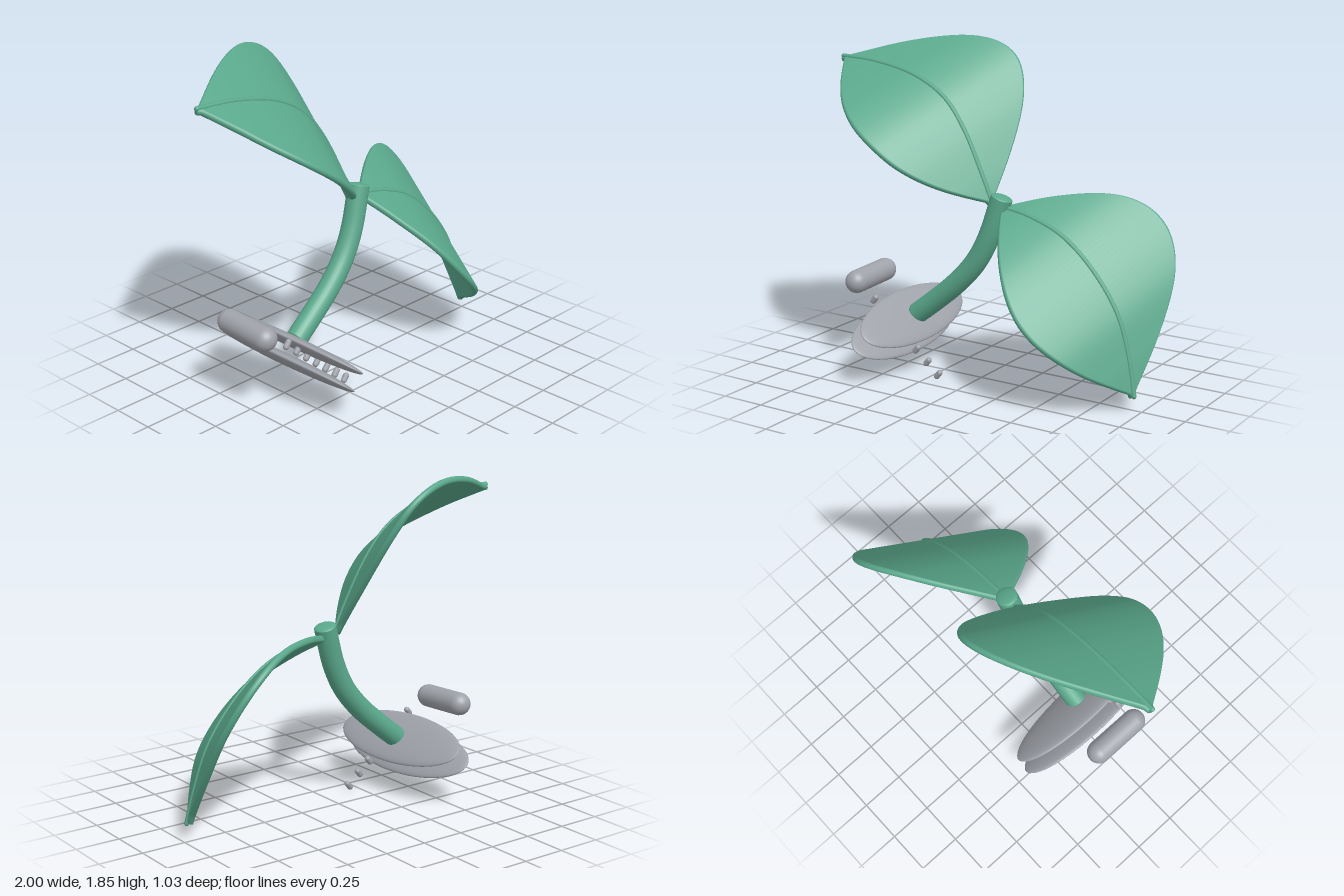
import * as THREE from 'three';

const green = new THREE.MeshStandardMaterial({ color: 0x5aa88c });
green.name = 'leaf green';
const grey = new THREE.MeshStandardMaterial({ color: 0x9fa2a9 });
grey.name = 'stone grey';

const V = (x, y, z) => new THREE.Vector3(x, y, z);
// Direction across both blades, pointing to the back
const ACROSS = V(0.34, 0.4, -0.85).normalize();
const HALF_THICK = 0.018;

function add(parent, geometry, material, name) {
  const mesh = new THREE.Mesh(geometry, material);
  mesh.name = name;
  parent.add(mesh);
  return mesh;
}

// Arched blade: rounded flat cross-sections swept along the midrib
function bladeGeometry(rib) {
  const rows = 56, endSteps = 8, h = HALF_THICK;
  const ring = 2 * (endSteps + 1);
  const pos = [], idx = [];
  for (let i = 0; i <= rows; i++) {
    const t = i / rows;
    const p = rib.getPointAt(t);
    const n = rib.getTangentAt(t).cross(ACROSS).normalize();
    const up = n.y > 0 ? 1 : -1;
    p.addScaledVector(n, -up * h * 0.8);
    const half = Math.max(0.003, 0.53 * Math.sin(Math.PI * Math.pow(t, 0.97)) - h);
    for (let side = 0; side < 2; side++) {
      for (let k = 0; k <= endSteps; k++) {
        const a = -Math.PI / 2 + side * Math.PI + (k / endSteps) * Math.PI;
        const v = p.clone()
          .addScaledVector(ACROSS, (side ? -half : half) + Math.cos(a) * h)
          .addScaledVector(n, Math.sin(a) * h);
        pos.push(v.x, v.y, v.z);
      }
    }
  }
  for (let i = 0; i < rows; i++) {
    for (let j = 0; j < ring; j++) {
      const k = (j + 1) % ring;
      const a = i * ring + j, b = i * ring + k, c = a + ring, d = b + ring;
      idx.push(a, b, d, a, d, c);
    }
  }
  // Close the base and the tip
  const last = rows * ring;
  for (let j = 1; j < ring - 1; j++) {
    idx.push(0, j + 1, j, last, last + j, last + j + 1);
  }
  const g = new THREE.BufferGeometry();
  g.setAttribute('position', new THREE.Float32BufferAttribute(pos, 3));
  g.setIndex(idx);
  g.computeVertexNormals();
  return g;
}

function makeLeaf(name, points) {
  const leaf = new THREE.Group();
  leaf.name = name;
  const rib = new THREE.CatmullRomCurve3(points);
  add(leaf, bladeGeometry(rib), green, 'blade');
  add(leaf, new THREE.TubeGeometry(rib, 60, 0.014, 10), green, 'midrib');
  // Small round ends on the midrib
  for (const p of [points[0], points[points.length - 1]]) {
    add(leaf, new THREE.SphereGeometry(0.014, 10, 8), green, 'midribEnd').position.copy(p);
  }
  return leaf;
}

export function createModel() {
  const model = new THREE.Group();
  model.name = 'sprout';

  model.add(makeLeaf('upperLeaf', [
    V(0.05, 1.01, -0.03), V(-0.02, 1.16, -0.035), V(-0.15, 1.4, -0.05), V(-0.28, 1.555, -0.06),
    V(-0.47, 1.66, -0.065), V(-0.74, 1.72, -0.07), V(-0.98, 1.735, -0.073),
  ]));
  model.add(makeLeaf('lowerLeaf', [
    V(0.11, 1.0, -0.025), V(0.28, 0.97, -0.025), V(0.49, 0.89, -0.022), V(0.68, 0.735, -0.015),
    V(0.84, 0.52, -0.005), V(0.92, 0.3, 0.01), V(0.967, 0.1, 0.03),
  ]));

  // Curved stem with a low domed top
  const stem = new THREE.CatmullRomCurve3([
    V(-0.42, 0.32, 0.02), V(-0.3, 0.415, 0.015), V(-0.16, 0.535, 0.01),
    V(-0.04, 0.67, 0), V(0.04, 0.82, -0.01), V(0.112, 1.045, -0.028),
  ]);
  add(model, new THREE.TubeGeometry(stem, 48, 0.061, 24), green, 'stem');
  for (const t of [0, 1]) {
    const cap = add(model, new THREE.SphereGeometry(0.061, 24, 8, 0, Math.PI * 2, 0, Math.PI / 2),
      green, t ? 'stemTop' : 'stemFoot');
    cap.position.copy(stem.getPointAt(t));
    cap.quaternion.setFromUnitVectors(V(0, 1, 0), stem.getTangentAt(t).multiplyScalar(t ? 1 : -1));
    cap.scale.y = 0.25;
  }

  // Two thin lens-shaped discs, tilted down to the left side
  const slope = -Math.atan2(0.63, 0.77);
  const discs = new THREE.Group();
  discs.name = 'discs';
  discs.position.set(-0.48, 0.27, 0.02);
  discs.rotation.z = slope;
  for (const s of [-1, 1]) {
    const disc = add(discs, new THREE.SphereGeometry(1, 48, 24), grey, s > 0 ? 'upperDisc' : 'lowerDisc');
    disc.scale.set(0.17, 0.032, 0.488);
    disc.position.y = s * 0.051;
    disc.rotation.y = 0.05;
  }
  model.add(discs);

  // Row of pegs running between the discs
  for (let i = 0; i < 7; i++) {
    const peg = add(model, new THREE.CapsuleGeometry(0.017, 0.028, 4, 12), grey, 'peg');
    peg.position.set(-0.62 + i * 0.0722, 0.405 - i * 0.0612, 0.155);
    peg.rotation.z = slope;
  }

  // Rounded bar beside the discs
  const bar = add(model, new THREE.CapsuleGeometry(0.066, 0.27, 10, 28), grey, 'bar');
  bar.position.set(-0.76, 0.487, 0);
  bar.rotation.x = Math.PI / 2 + 0.04;

  return model;
}
